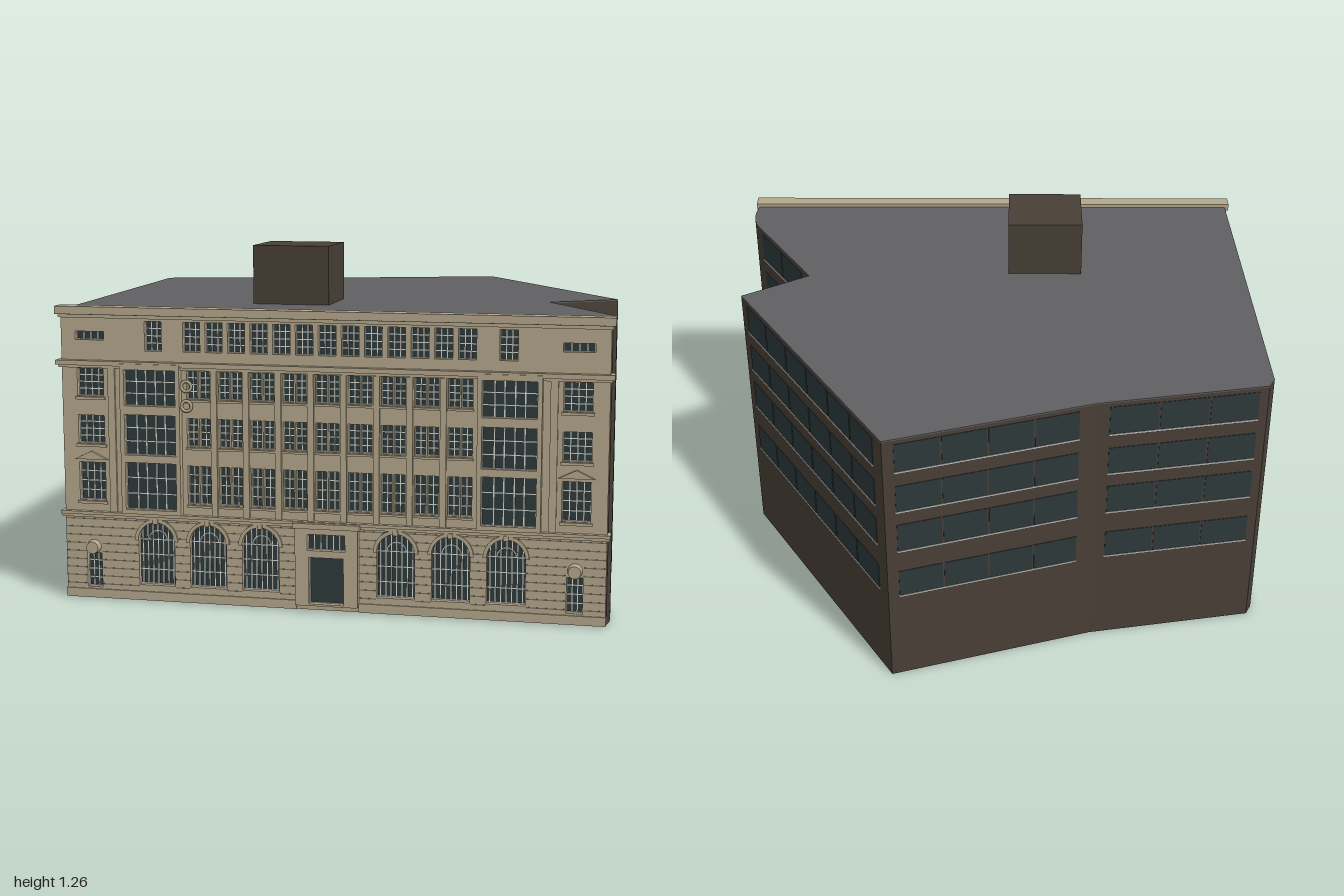
import * as THREE from 'three';
import { mergeGeometries } from 'three/addons/utils/BufferGeometryUtils.js';

const mat = (name, color) => Object.assign(new THREE.MeshStandardMaterial({ color }), { name });

// Collects geometry by part name, then makes one mesh per part
function partBuilder(group) {
  const parts = new Map();
  return {
    add(name, material, geo) {
      if (!parts.has(name)) parts.set(name, { material, geos: [] });
      parts.get(name).geos.push(geo.index ? geo.toNonIndexed() : geo);
    },
    finish() {
      for (const [name, { material, geos }] of parts) {
        const mesh = new THREE.Mesh(mergeGeometries(geos), material);
        mesh.name = name;
        group.add(mesh);
      }
    },
  };
}

const block = (x0, x1, y0, y1, z0, z1) =>
  new THREE.BoxGeometry(x1 - x0, y1 - y0, z1 - z0).translate((x0 + x1) / 2, (y0 + y1) / 2, (z0 + z1) / 2);

const rectPath = (x0, x1, y0, y1, Type = THREE.Path) => new Type(
  [[x0, y0], [x1, y0], [x1, y1], [x0, y1]].map(p => new THREE.Vector2(...p)));

function archPath(x, y0, spring, r, Type = THREE.Path) {
  const p = new Type();
  p.moveTo(x - r, y0);
  p.lineTo(x + r, y0);
  p.lineTo(x + r, spring);
  p.absarc(x, spring, r, 0, Math.PI, false);
  return p;
}

function extrude(shape, z0, depth, holes = []) {
  shape.holes.push(...holes);
  return new THREE.ExtrudeGeometry(shape, { depth, bevelEnabled: false, curveSegments: 14 }).translate(0, 0, z0);
}

function halfRing(x, y, inner, outer, z0, depth) {
  const s = new THREE.Shape();
  s.absarc(x, y, outer, 0, Math.PI, false);
  s.absarc(x, y, inner, Math.PI, 0, true);
  return extrude(s, z0, depth);
}

export function createModel() {
  const stone = mat('pale stone', 0xb3a68a);
  const groove = mat('stone joint', 0x716a5e);
  const brown = mat('dark brown wall', 0x483f36);
  const roofGrey = mat('roof grey', 0x605f61);
  const glass = mat('dark glass', 0x2e393a);
  const white = mat('white trim', 0xd6d5cd);

  const model = new THREE.Group();
  model.name = 'officeBuilding';

  // Main block on an irregular plan, with a rounded front corner
  const plan = new THREE.Shape();
  [[-0.98, 0.678], [-0.91, -0.63], [-0.885, -0.67], [-0.27, -0.73], [0.48, -0.9],
    [0.995, 0.1], [0.74, 0.235], [0.96, 0.67]].forEach(([x, z], i) => plan[i ? 'lineTo' : 'moveTo'](x, -z));
  plan.quadraticCurveTo(0.985, -0.75, 0.955, -0.836);
  plan.closePath();
  const slab = (name, material, y0, h) => {
    const mesh = new THREE.Mesh(extrude(plan, y0, h).rotateX(-Math.PI / 2), material);
    mesh.name = name;
    model.add(mesh);
  };
  slab('mainBlock', brown, 0, 1.046);
  slab('roof', roofGrey, 1.046, 0.005);

  // Rooftop plant room
  const plant = new THREE.Mesh(new THREE.BoxGeometry(0.283, 0.22, 0.258), brown);
  plant.name = 'plantRoom';
  plant.position.set(-0.187, 1.155, 0.308);
  plant.rotation.y = -0.085;
  model.add(plant);

  // Ribbon windows on the plain side and rear walls; t0, t1 are fractions along the wall
  const ribbonRows = [[0.37, 0.48], [0.572, 0.687], [0.745, 0.855], [0.915, 1.03]];
  function ribbonWall(name, [ax, az], [bx, bz], t0, t1, panes) {
    const g = new THREE.Group();
    g.name = name;
    g.position.set(ax, 0, az);
    g.rotation.y = Math.atan2(az - bz, bx - ax);
    const len = Math.hypot(bx - ax, bz - az), x0 = t0 * len, x1 = t1 * len, step = (x1 - x0) / panes;
    const b = partBuilder(g);
    for (const [y0, y1] of ribbonRows) {
      for (let i = 0; i < panes; i++)
        b.add('ribbonGlass', glass, block(x0 + i * step + 0.003, x0 + (i + 1) * step - 0.003, y0, y1, -0.002, 0.002));
      b.add('ribbonSill', white, block(x0, x1, y0 - 0.007, y0, -0.002, 0.004));
    }
    b.finish();
    model.add(g);
  }
  ribbonWall('rightFrontWindows', [0.96, 0.67], [0.74, 0.235], 0.09, 0.86, 2);
  ribbonWall('rightRearWindows', [0.995, 0.1], [0.48, -0.9], 0.04, 0.945, 6);
  ribbonWall('rearLeftWindows', [0.48, -0.9], [-0.27, -0.73], 0.05, 0.92, 4);
  ribbonWall('rearRightWindows', [-0.27, -0.73], [-0.885, -0.67], 0.07, 0.95, 3);
  ribbonWall('westWindows', [-0.91, -0.63], [-0.985, 0.69], 0.05, 0.96, 8);

  // Stone front, built in its own frame: x along the wall, z outward
  const front = new THREE.Group();
  front.name = 'stoneFront';
  front.position.set(-0.016, 0, 0.787);
  front.rotation.y = -0.0813;
  model.add(front);
  const f = partBuilder(front);
  const holes = [];
  const mirror = (fn) => [-1, 1].forEach(fn);

  // Rectangular window with glazing bars; the opening goes into the given list
  function windowAt(x, y0, y1, w, cols, rows, z = -0.022, list = holes) {
    const x0 = x - w / 2, x1 = x + w / 2, t = 0.0017;
    list.push(rectPath(x0, x1, y0, y1));
    f.add('frontGlass', glass, block(x0, x1, y0, y1, z - 0.004, z));
    for (let i = 0; i <= cols; i++) {
      const u = x0 + w * i / cols;
      f.add('glazingBars', white, block(u - t, u + t, y0, y1, z, z + 0.004));
    }
    for (let j = 0; j <= rows; j++) {
      const v = y0 + (y1 - y0) * j / rows;
      f.add('glazingBars', white, block(x0, x1, v - t, v + t, z, z + 0.003));
    }
  }

  const floors = [[0.364, 0.503], [0.572, 0.674], [0.743, 0.842]];

  // Attic windows
  for (let i = -6; i <= 6; i++) windowAt(i * 0.0812, 0.91, 1.015, 0.062, 3, 4);
  mirror(s => {
    windowAt(s * 0.628, 0.91, 1.015, 0.062, 3, 4);
    windowAt(s * 0.864, 0.945, 0.975, 0.107, 4, 1);
  });

  // Nine middle bays of paired windows with pilasters between
  for (let i = -4; i <= 4; i++) {
    for (const [y0, y1] of floors) {
      mirror(s => windowAt(i * 0.1163 + s * 0.0225, y0, y1, 0.039, 2, 4));
      f.add('windowSills', stone, block(i * 0.1163 - 0.046, i * 0.1163 + 0.046, y0 - 0.01, y0 - 0.002, -0.005, 0.007));
    }
  }
  for (let i = -3.5; i <= 3.5; i++)
    f.add('pilasters', stone, block(i * 0.1163 - 0.011, i * 0.1163 + 0.011, 0.325, 0.845, -0.005, 0.009));

  mirror(s => {
    // Outer bays
    const x = s * 0.864;
    for (const [y0, y1] of floors) {
      windowAt(x, y0, y1, 0.098, 4, 4);
      f.add('windowSills', stone, block(x - 0.056, x + 0.056, y0 - 0.012, y0 - 0.002, -0.005, 0.008));
    }
    const gable = new THREE.Shape([[-0.062, 0.515], [0.062, 0.515], [0, 0.545]].map(([u, v]) => new THREE.Vector2(x + u, v)));
    f.add('pediments', stone, extrude(gable, -0.005, 0.017));
    f.add('pilasters', stone, block(s * 0.784 - 0.013, s * 0.784 + 0.013, 0.325, 0.845, -0.005, 0.008));
    windowAt(x, 0.043, 0.17, 0.056, 3, 4);
    f.add('medallions', stone, new THREE.CylinderGeometry(0.022, 0.027, 0.03, 20).rotateX(Math.PI / 2).translate(x, 0.193, 0.01));

    // Tall three-storey window in a projecting frame
    const bx = s * 0.636, panes = [];
    for (const [y0, y1] of [[0.342, 0.513], [0.54, 0.685], [0.717, 0.845]]) {
      windowAt(bx, y0, y1, 0.188, 1, 3, 0.008, panes);
      for (const u of [-0.052, -0.018, 0.018, 0.052])
        f.add('glazingBars', white, block(bx + u - 0.002, bx + u + 0.002, y0, y1, 0.008, 0.012));
    }
    f.add('tallWindowFrames', stone, extrude(rectPath(bx - 0.11, bx + 0.11, 0.326, 0.866, THREE.Shape), -0.03, 0.058, panes));
    holes.push(rectPath(bx - 0.109, bx + 0.109, 0.327, 0.865));
  });

  // Ground floor arches
  const arches = [-0.628, -0.436, -0.243, 0.243, 0.436, 0.628], R = 0.067, spring = 0.225;
  for (const x of arches) {
    holes.push(archPath(x, 0.06, spring, R));
    f.add('frontGlass', glass, extrude(archPath(x, 0.06, spring, R, THREE.Shape), -0.026, 0.004));
    f.add('archSurrounds', stone, halfRing(x, spring, R, 0.08, -0.004, 0.011));
    f.add('archSurrounds', stone, block(x - 0.009, x + 0.009, spring + R - 0.004, 0.306, -0.004, 0.014));
    f.add('glazingBars', white, halfRing(x, spring, 0.032, 0.035, -0.022, 0.004));
    for (let i = -3; i <= 3; i++) {
      const u = i * 0.019;
      f.add('glazingBars', white, block(x + u - 0.0017, x + u + 0.0017, 0.06, spring + Math.sqrt(R * R - u * u), -0.022, -0.018));
    }
    for (const v of [0.062, 0.115, 0.17, spring])
      f.add('glazingBars', white, block(x - R, x + R, v - 0.0017, v + 0.0017, -0.022, -0.019));
  }

  // Entrance with its projecting surround
  const doorHoles = [];
  windowAt(0, 0.225, 0.283, 0.135, 6, 1, 0.005, doorHoles);
  windowAt(0, 0.032, 0.2, 0.124, 1, 1, 0.005, doorHoles);
  f.add('doorSurround', stone, extrude(rectPath(-0.112, 0.112, 0.025, 0.315, THREE.Shape), -0.03, 0.058, doorHoles));
  f.add('doorSurround', stone, block(-0.12, 0.12, 0.303, 0.322, 0, 0.034));
  holes.push(rectPath(-0.111, 0.111, 0.026, 0.314));

  // Wall with every opening cut through it
  f.add('frontWall', stone, extrude(rectPath(-0.97, 0.97, 0.004, 1.05, THREE.Shape), -0.034, 0.034, holes));

  // Stone joints of the ground floor, broken at each opening
  for (let y = 0.055; y < 0.3; y += 0.03) {
    const gaps = [[0, 0.112]];
    mirror(s => { if (y < 0.222) gaps.push([s * 0.864, 0.03]); });
    for (const x of arches) {
      const h = y < spring ? R + 0.002 : Math.sqrt(Math.max(0, 0.0064 - (y - spring) ** 2));
      gaps.push([x, h]);
    }
    gaps.sort((a, b) => a[0] - b[0]);
    let start = -0.97;
    for (const [x, h] of [...gaps, [0.97, 0]]) {
      if (x - h - start > 0.004) f.add('stoneJoints', groove, block(start, x - h, y - 0.002, y + 0.002, -0.001, 0.001));
      start = x + h;
    }
  }

  // Plinth, string courses and cornices: half width, bottom, top, projection
  mirror(s => f.add('plinth', stone, block(Math.min(s * 0.112, s * 0.972), Math.max(s * 0.112, s * 0.972), 0.004, 0.036, -0.02, 0.005)));
  for (const [h, y0, y1, d] of [[0.98, 0.303, 0.314, 0.01], [0.982, 0.314, 0.325, 0.018], [0.978, 0.846, 0.856, 0.012],
    [0.985, 0.856, 0.873, 0.024], [0.976, 1.024, 1.038, 0.01], [0.985, 1.038, 1.065, 0.022]])
    f.add('cornices', stone, block(-h, h, y0, y1, -0.034, d));
  f.add('corniceLines', groove, block(-0.985, 0.985, 1.0365, 1.0385, 0, 0.0225));

  // Carved ornament beside the tall window
  for (const y of [0.72, 0.79])
    f.add('carvedOrnament', stone, new THREE.TorusGeometry(0.018, 0.006, 6, 16).translate(-0.505, y, 0.012));
  f.finish();
  return model;
}
